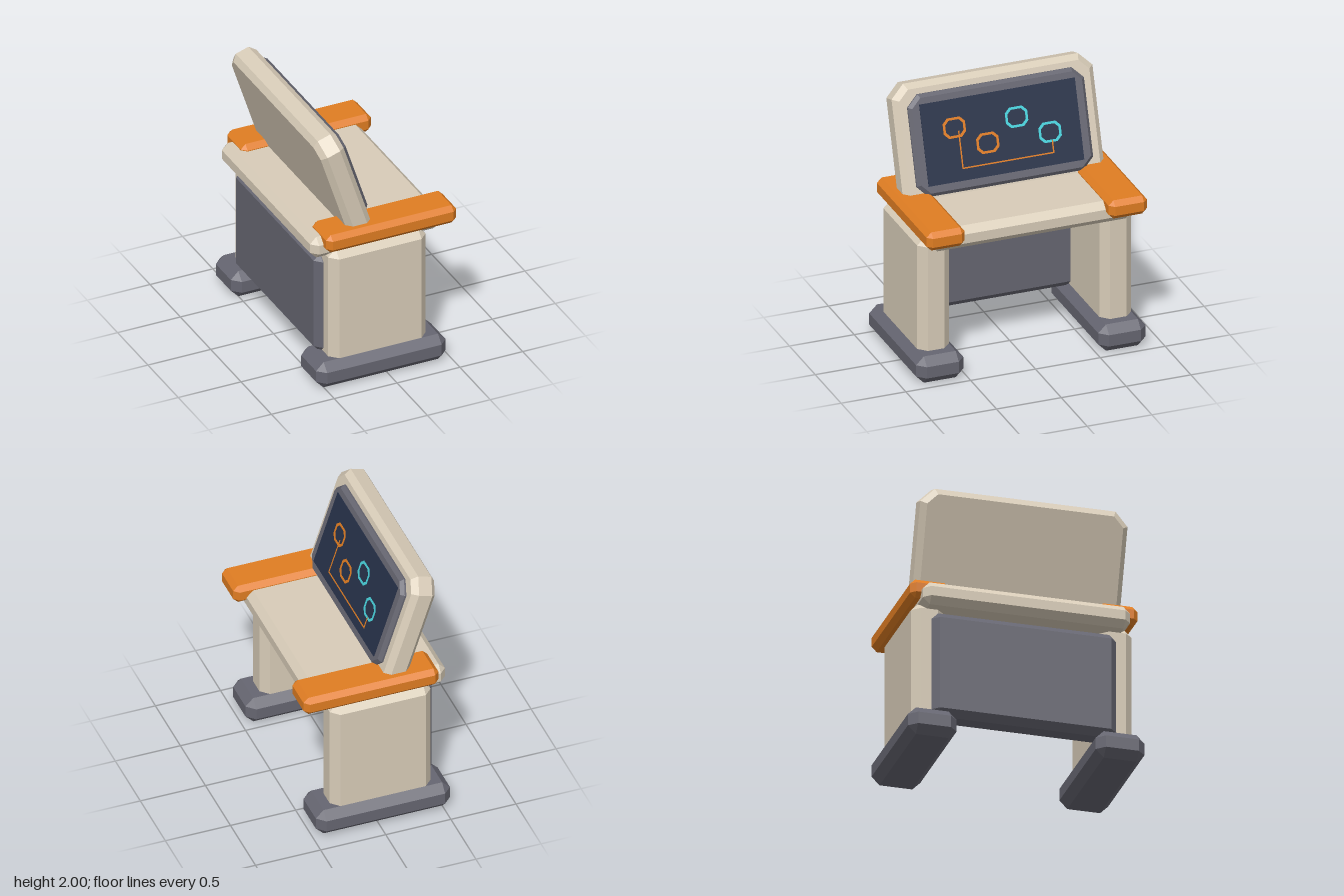
import * as THREE from 'three';
import { ConvexGeometry } from 'three/addons/geometries/ConvexGeometry.js';

function makeMaterial(name, color) {
  const m = new THREE.MeshStandardMaterial({ color });
  m.name = name;
  return m;
}

// Box with every edge cut by c, given by its [min, max] on each axis
function chamferBox([x0, x1], [y0, y1], [z0, z1], c) {
  const half = [(x1 - x0) / 2, (y1 - y0) / 2, (z1 - z0) / 2];
  const points = [];
  for (const sx of [-1, 1]) for (const sy of [-1, 1]) for (const sz of [-1, 1]) {
    for (let face = 0; face < 3; face++) {
      const [x, y, z] = half.map((h, axis) => (axis === face ? h : h - c));
      points.push(new THREE.Vector3(sx * x, sy * y, sz * z));
    }
  }
  return new ConvexGeometry(points).translate((x0 + x1) / 2, (y0 + y1) / 2, (z0 + z1) / 2);
}

// Corner points of a rectangle with cut corners
function cutRect(cx, cy, hw, hh, cut) {
  return [
    [hw, -hh + cut], [hw, hh - cut], [hw - cut, hh], [-hw + cut, hh],
    [-hw, hh - cut], [-hw, -hh + cut], [-hw + cut, -hh], [hw - cut, -hh],
  ].map(([x, y]) => new THREE.Vector2(cx + x, cy + y));
}

// Bevelled cut-corner plate between depths n0 and n1, heights u0 and u1
function bevelPlate(halfWidth, u0, u1, n0, n1, cut, bevel) {
  const shape = new THREE.Shape(cutRect(0, (u0 + u1) / 2, halfWidth, (u1 - u0) / 2, cut));
  return new THREE.ExtrudeGeometry(shape, {
    depth: n1 - n0 - 2 * bevel, bevelEnabled: true, bevelSegments: 1,
    bevelSize: bevel, bevelThickness: bevel, bevelOffset: -bevel,
  }).translate(0, 0, n0 + bevel);
}

export function createModel() {
  const cream = makeMaterial('cream', 0xd8ccb8);
  const slate = makeMaterial('slate', 0x666671);
  const orange = makeMaterial('orange', 0xe07d22);
  const navy = makeMaterial('navy', 0x273149);
  const cyan = makeMaterial('cyan', 0x48d2dc);

  const model = new THREE.Group();
  model.name = 'consoleDesk';
  const add = (parent, name, geometry, material) => {
    const mesh = new THREE.Mesh(geometry, material);
    mesh.name = name;
    parent.add(mesh);
    return mesh;
  };

  // Mirrored feet, legs and armrests
  for (const [side, s] of [['left', 1], ['right', -1]]) {
    const span = (a, b) => (s > 0 ? [a, b] : [-b, -a]);
    add(model, side + 'Foot', chamferBox([-0.56, 0.47], [0, 0.21], span(0.52, 0.885), 0.06), slate);
    add(model, side + 'Leg', chamferBox([-0.435, 0.34], [0.12, 1.095], span(0.58, 0.825), 0.06), cream);
    add(model, side + 'Armrest', chamferBox([-0.475, 0.56], [1.105, 1.25], span(0.555, 0.85), 0.037), orange);
  }

  // Desk slab and modesty panel
  add(model, 'deskTop', chamferBox([-0.56, 0.47], [1.035, 1.207], [-0.775, 0.775], 0.05), cream);
  add(model, 'backPanel', chamferBox([-0.49, -0.28], [0.19, 1.005], [-0.69, 0.69], 0.05), slate);

  // Display leaning back, facing +x: local x runs across, y up the slope, z outward
  const display = new THREE.Group();
  display.name = 'display';
  display.rotation.set(-Math.PI / 10, Math.PI / 2, 0, 'YXZ');
  model.add(display);
  add(display, 'displayHousing', bevelPlate(0.775, 1.065, 2.02, 0.115, 0.305, 0.1, 0.042), cream);
  add(display, 'displayBezel', bevelPlate(0.68, 1.185, 1.935, 0.27, 0.343, 0.085, 0.025), slate);
  add(display, 'screen', new THREE.BoxGeometry(1.2, 0.6, 0.008).translate(0, 1.563, 0.344), navy);

  // Ring markers floating just above the screen
  const ringDepth = 0.36;
  const rings = [[-0.36, 1.657, orange], [-0.12, 1.507, orange], [0.12, 1.657, cyan], [0.36, 1.507, cyan]];
  rings.forEach(([x, u, material], i) => {
    const shape = new THREE.Shape(cutRect(x, u, 0.086, 0.075, 0.037));
    shape.holes.push(new THREE.Path(cutRect(x, u, 0.068, 0.057, 0.03).reverse()));
    const geometry = new THREE.ExtrudeGeometry(shape, { depth: 0.003, bevelEnabled: false });
    add(display, 'ringMarker' + (i + 1), geometry.translate(0, 0, ringDepth), material);
  });

  // Thin line joining the outer rings
  const line = [[-0.33, 1.625], [-0.33, 1.355], [0.37, 1.355], [0.37, 1.44]];
  const w = 0.01;
  for (let i = 0; i < 3; i++) {
    const [x0, u0] = line[i], [x1, u1] = line[i + 1];
    const bar = new THREE.BoxGeometry(Math.abs(x1 - x0) + w, Math.abs(u1 - u0) + w, 0.003);
    add(display, 'linkLine' + (i + 1), bar.translate((x0 + x1) / 2, (u0 + u1) / 2, ringDepth + 0.002), orange);
  }

  return model;
}
